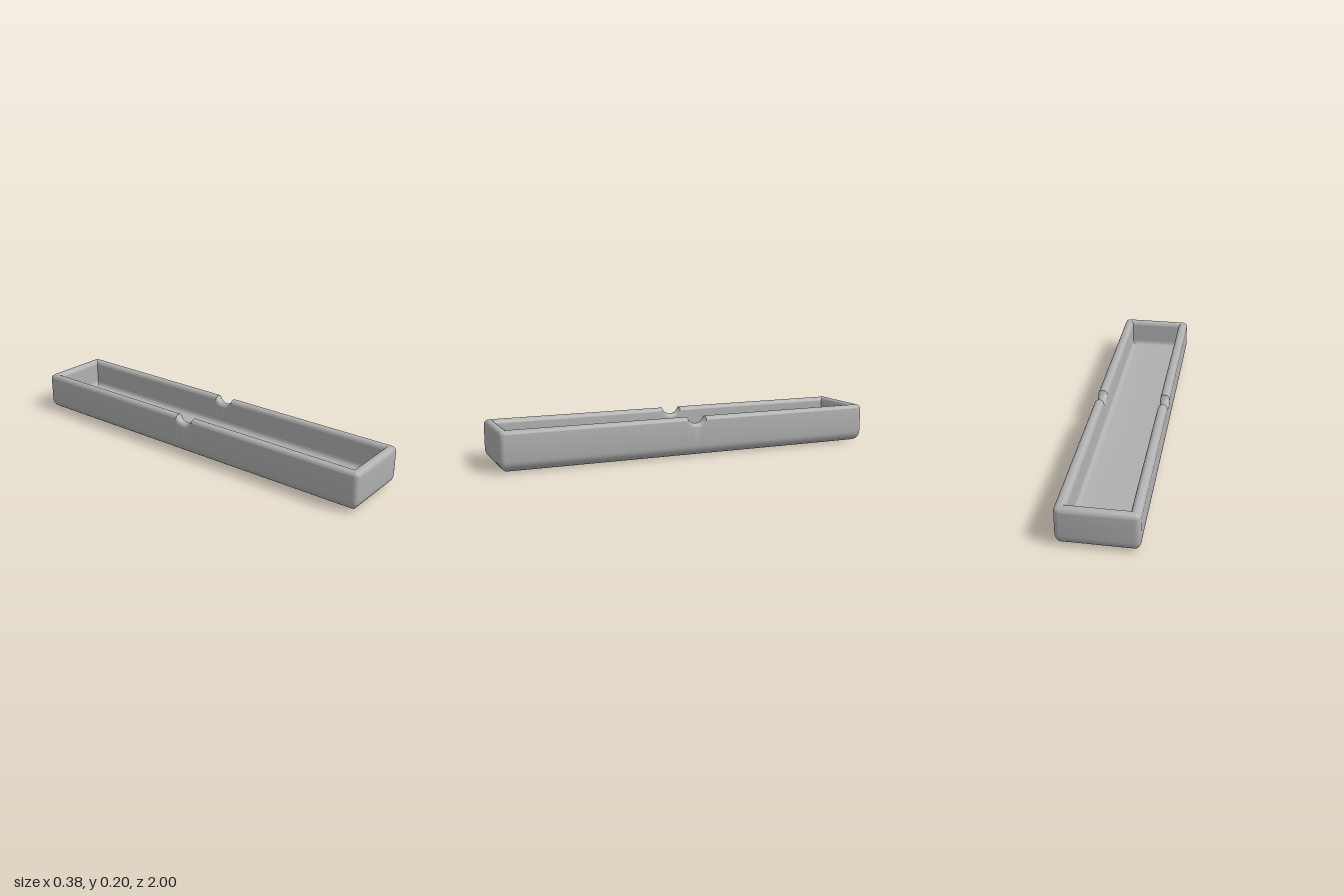
import * as THREE from 'three';
import { toCreasedNormals } from 'three/addons/utils/BufferGeometryUtils.js';

const W = 0.19, D = 1, H = 0.2;            // half width, half length, height
const WALL = 0.05, RIM = WALL / 2, FOOT = 0.055, FLOOR = 0.05, COVE = 0.025;
const NOTCH = { r: 0.0532, half: 0.05, depth: 0.035 };

// Wall cross-section: [inset from the outer face, y], from underside over the rim to the floor
function wallProfile() {
  const pts = [];
  const arc = (cx, cy, r, from, to, n) => {
    for (let i = 0; i <= n; i++) {
      const a = from + (to - from) * i / n;
      pts.push([cx - r * Math.cos(a), cy + r * Math.sin(a)]);
    }
  };
  arc(FOOT, FOOT, FOOT, -Math.PI / 2, 0, 9);                       // rounded foot
  arc(RIM, H - RIM, RIM, 0, Math.PI, 16);                          // rounded rim
  arc(WALL + COVE, FLOOR + COVE, COVE, 0, -Math.PI / 2, 7);        // cove at the floor
  return pts;
}

// Positions along a long side where the notch arc is sampled
const reach = Math.asin(NOTCH.half / NOTCH.r);
const notchZ = Array.from({ length: 21 }, (_, i) => NOTCH.r * Math.sin(reach * (i / 10 - 1)));
const notchDrop = z => Math.abs(z) >= NOTCH.half - 1e-6 ? 0
  : Math.sqrt(NOTCH.r ** 2 - z * z) - (NOTCH.r - NOTCH.depth);

// One rounded-rectangle loop; points on the rim sink into the notches
function loop(inset, y) {
  const w = W - inset, d = D - inset, r = Math.max(0, RIM - inset), pts = [];
  const corner = (sx, sz, start) => {
    for (let i = 0; i <= 6; i++) {
      const a = start + Math.PI / 2 * i / 6;
      pts.push(new THREE.Vector3(sx * (w - r) + r * Math.cos(a), y, sz * (d - r) + r * Math.sin(a)));
    }
  };
  const side = s => notchZ.forEach(z => {
    const drop = y >= H - RIM - 1e-6 ? notchDrop(z) : 0;
    pts.push(new THREE.Vector3(s * w, y - drop, s * z));
  });
  side(1);
  corner(1, 1, 0);
  corner(-1, 1, Math.PI / 2);
  side(-1);
  corner(-1, -1, Math.PI);
  corner(1, -1, Math.PI * 1.5);
  return pts;
}

function trayGeometry() {
  const loops = wallProfile().map(([inset, y]) => loop(inset, y));
  const n = loops[0].length;
  const centre = y => Array.from({ length: n }, () => new THREE.Vector3(0, y, 0));
  loops.unshift(centre(0));       // underside
  loops.push(centre(FLOOR));      // inner floor

  const pos = [], tri = new THREE.Triangle();
  const add = (a, b, c) => {
    tri.set(a, b, c);
    if (tri.getArea() > 1e-9) pos.push(...a, ...b, ...c);
  };
  for (let i = 0; i < loops.length - 1; i++) {
    for (let j = 0; j < n; j++) {
      const k = (j + 1) % n, lo = loops[i], hi = loops[i + 1];
      add(lo[j], hi[j], lo[k]);
      add(lo[k], hi[j], hi[k]);
    }
  }
  const geo = new THREE.BufferGeometry();
  geo.setAttribute('position', new THREE.Float32BufferAttribute(pos, 3));
  return toCreasedNormals(geo, 0.5);
}

export function createModel() {
  const grey = new THREE.MeshStandardMaterial({ color: 0xb0b0b0 });
  grey.name = 'grey';
  const tray = new THREE.Mesh(trayGeometry(), grey);
  tray.name = 'notchedTray';
  const group = new THREE.Group();
  group.name = 'tray';
  group.add(tray);
  return group;
}
